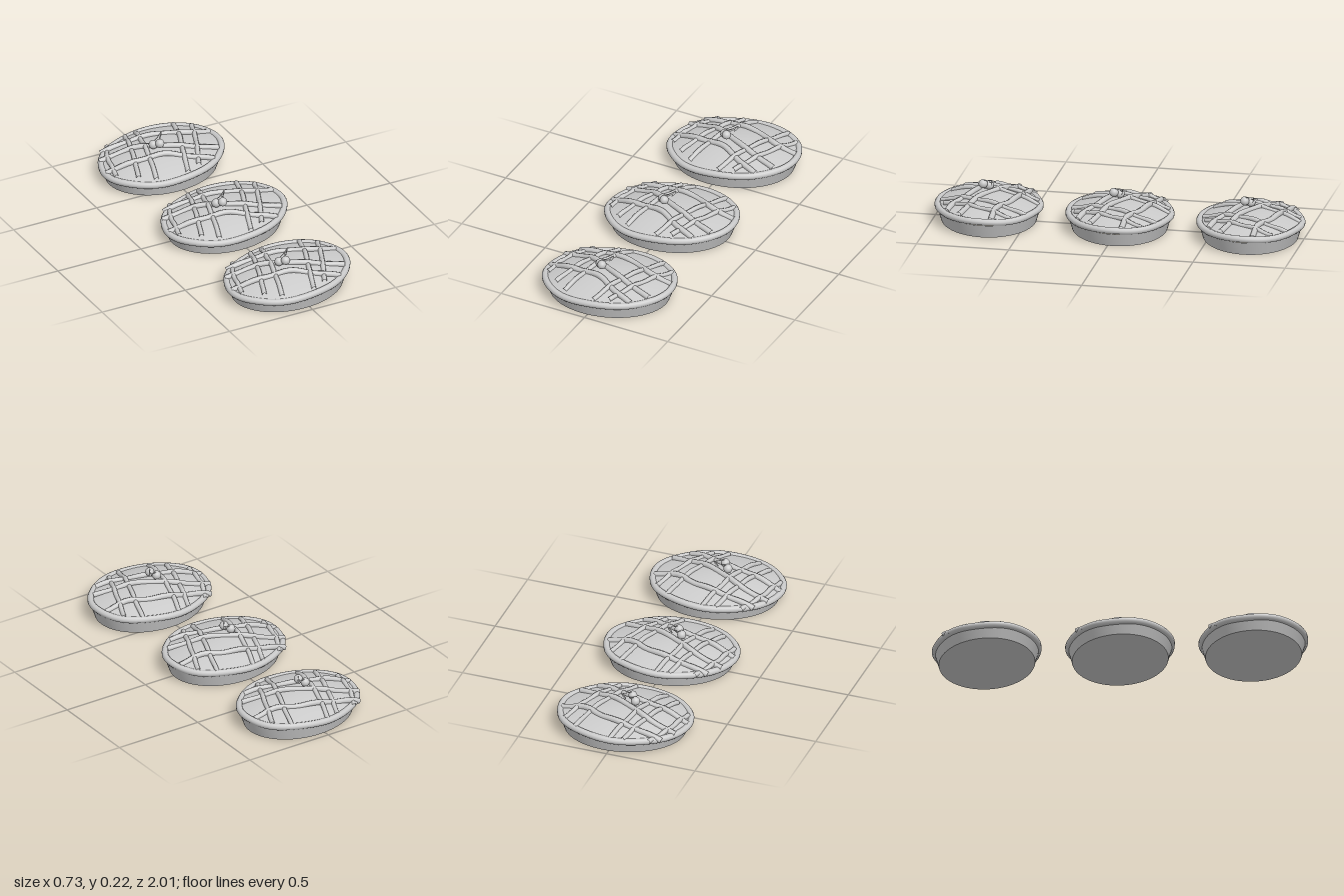
import * as THREE from 'three';
import { mergeVertices, toCreasedNormals } from 'three/addons/utils/BufferGeometryUtils.js';

const material = new THREE.MeshStandardMaterial({ color: 0xcccccc });
const RX = 0.365, RZ = 0.29, SKEW = 0.1;

// Unit disc to the slightly skewed oval of the pie
const ovalZ = (u, v) => RZ * (v - SKEW * u);

// Crust height: a shallow dome, a little higher on the +x side
function domeHeight(x, z) {
  const u = x / RX, v = z / RZ + SKEW * u;
  const r = Math.min(1, Math.hypot(u, v));
  return 0.08 + 0.062 * (1 - Math.pow(r, 1.8)) + 0.012 * u * r;
}

function mesh(name, geometry) {
  const m = new THREE.Mesh(geometry, material);
  m.name = name;
  return m;
}

function tube(name, points, radius, segments, sides = 8, closed = false) {
  const curve = new THREE.CatmullRomCurve3(points, closed);
  return mesh(name, new THREE.TubeGeometry(curve, segments, radius, sides, closed));
}

// Lathe profile warped to the oval
function ovalLathe(profile, heightRule) {
  let g = new THREE.LatheGeometry(profile.map(p => new THREE.Vector2(...p)), 64);
  g.deleteAttribute('uv');
  g.deleteAttribute('normal');
  const p = g.attributes.position;
  for (let i = 0; i < p.count; i++) {
    const u = p.getX(i), v = p.getZ(i);
    const x = u * RX, z = ovalZ(u, v);
    p.setXYZ(i, x, heightRule ? heightRule(x, z) : p.getY(i), z);
  }
  g = mergeVertices(g);
  g.computeVertexNormals();
  return g;
}

// Lattice strips as [x, z] paths across the crust
const crossStrips = [
  [[-0.27, -0.18], [-0.1, -0.165], [0.085, -0.13], [0.2, -0.08], [0.33, -0.075]],
  [[-0.32, -0.1], [-0.15, -0.07], [-0.02, -0.005], [0.085, 0.045], [0.29, 0.105]],
  [[-0.345, 0.025], [-0.18, 0.06], [-0.02, 0.085], [0.13, 0.16], [0.22, 0.185]],
];
const longStrips = [
  [[-0.21, -0.22], [-0.27, -0.1], [-0.32, 0.1]],
  [[-0.08, -0.26], [-0.13, -0.11], [-0.23, 0.18]],
  [[-0.01, -0.27], [-0.05, -0.14], [-0.15, 0.23]],
  [[0.2, -0.24], [0.15, -0.08], [0.08, 0.1], [0.03, 0.25]],
  [[0.28, -0.18], [0.2, 0.02], [0.11, 0.22]],
];

function strip(name, path, radius, phase) {
  const flat = new THREE.CatmullRomCurve3(path.map(([x, z]) => new THREE.Vector3(x, 0, z)));
  const points = flat.getSpacedPoints(14).map((p, i) => {
    p.y = domeHeight(p.x, p.z) + 0.003 + 0.004 * Math.sin(i * 1.3 + phase);
    return p;
  });
  return tube(name, points, radius, 36);
}

function createPie() {
  const pie = new THREE.Group();

  // Flat-bottomed flared dish
  pie.add(mesh('dish', toCreasedNormals(
    ovalLathe([[0, 0], [0.885, 0], [0.96, 0.075]]), 0.6)));

  // Domed top crust
  const rings = Array.from({ length: 13 }, (_, i) => [0.96 * (1 - i / 12), 0]);
  pie.add(mesh('topCrust', ovalLathe(rings, domeHeight)));

  // Hand-rolled rim with gentle waves
  const rim = [];
  for (let i = 0; i < 40; i++) {
    const t = (i / 40) * Math.PI * 2;
    const k = 0.947 + 0.005 * Math.sin(7 * t);
    const u = k * Math.cos(t), v = k * Math.sin(t);
    const y = 0.08 + 0.012 * Math.cos(t) + 0.002 * Math.sin(5 * t + 1);
    rim.push(new THREE.Vector3(u * RX, y, ovalZ(u, v)));
  }
  pie.add(tube('crustRim', rim, 0.018, 100, 10, true));

  // Woven lattice
  const lattice = new THREE.Group();
  lattice.name = 'lattice';
  crossStrips.forEach((p, i) => lattice.add(strip('crossStrip', p, 0.016, i * 2)));
  longStrips.forEach((p, i) => lattice.add(strip('longStrip', p, 0.013, i * 2 + 1)));
  pie.add(lattice);

  // Pair of cherries with stems meeting at a small leaf
  const cherries = new THREE.Group();
  cherries.name = 'cherries';
  const tip = new THREE.Vector3(0.012, 0.215, -0.02);
  for (const [x, y, z] of [[-0.028, 0.181, 0.038], [-0.053, 0.167, 0.01]]) {
    const cherry = mesh('cherry', new THREE.SphereGeometry(0.024, 20, 14));
    cherry.position.set(x, y, z);
    const middle = new THREE.Vector3((x + tip.x) / 2, y + 0.027, (z + tip.z) / 2);
    cherries.add(cherry, tube('stem',
      [new THREE.Vector3(x, y + 0.02, z), middle, tip], 0.002, 10, 6));
  }
  const leafShape = new THREE.Shape();
  leafShape.moveTo(0, 0);
  leafShape.quadraticCurveTo(0.012, 0.022, 0, 0.045);
  leafShape.quadraticCurveTo(-0.012, 0.022, 0, 0);
  const leaf = mesh('leaf', new THREE.ExtrudeGeometry(leafShape, { depth: 0.002, bevelEnabled: false }));
  leaf.position.set(0.014, 0.217, -0.02);
  leaf.rotation.set(Math.PI - 0.3, 0, 0.5);
  cherries.add(leaf);
  pie.add(cherries);
  return pie;
}

export function createModel() {
  const model = new THREE.Group();
  model.name = 'pies';
  const pie = createPie();
  ['backPie', 'middlePie', 'frontPie'].forEach((name, i) => {
    const copy = pie.clone();
    copy.name = name;
    copy.position.z = (i - 1) * 0.71;
    model.add(copy);
  });
  return model;
}
